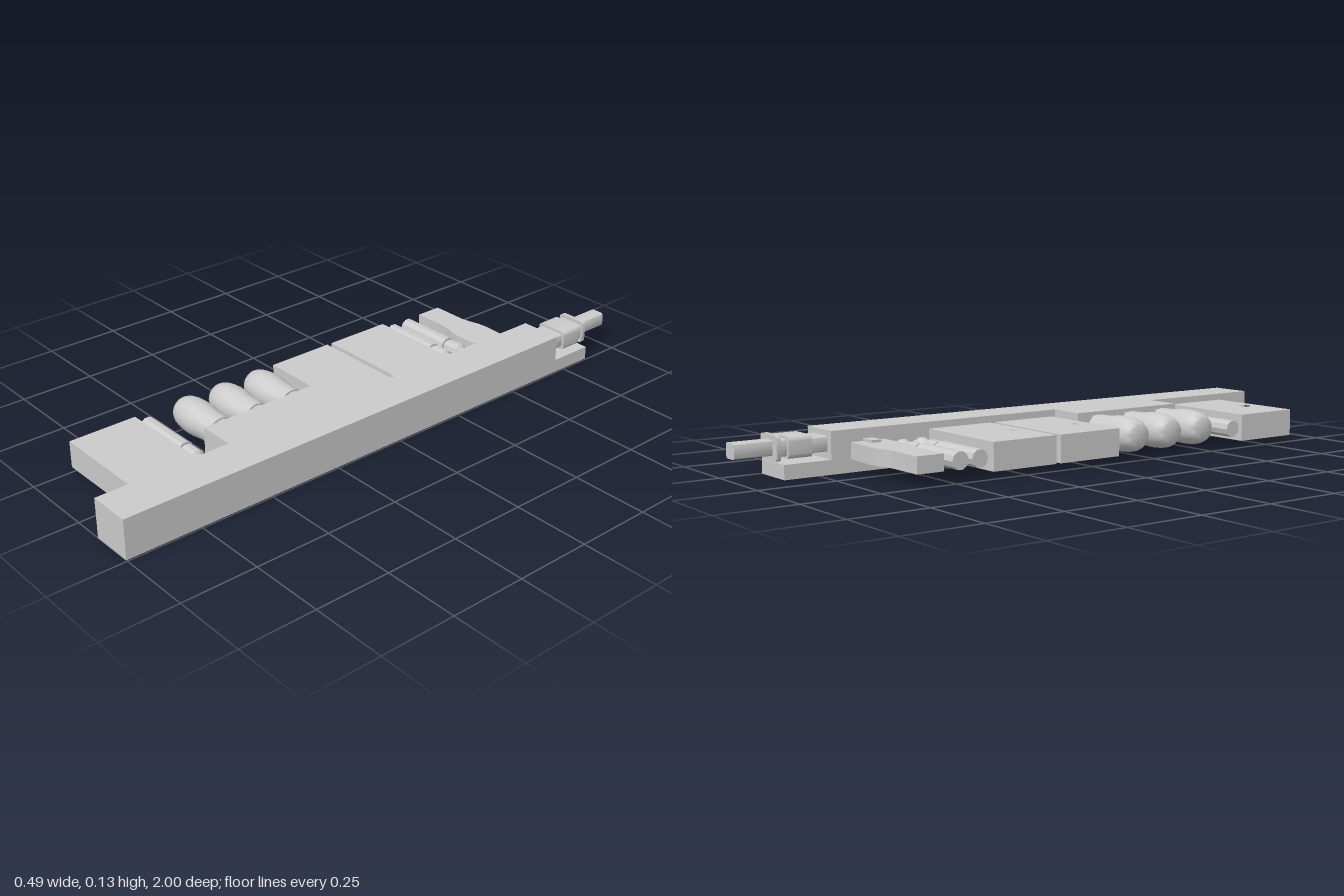
import * as THREE from 'three';
import { toCreasedNormals } from 'three/addons/utils/BufferGeometryUtils.js';

const mat = new THREE.MeshStandardMaterial({ color: 0xcccccc });
const flat = new THREE.MeshStandardMaterial({ color: 0xcccccc, flatShading: true });

export function createModel() {
  const root = new THREE.Group();

  const add = (name, geo, material = mat) => {
    const mesh = new THREE.Mesh(geo, material);
    mesh.name = name;
    root.add(mesh);
    return mesh;
  };
  // Box given by its extents on each axis
  const box = (name, [x0, x1], [y0, y1], [z0, z1]) =>
    add(name, new THREE.BoxGeometry(x1 - x0, y1 - y0, z1 - z0))
      .position.set((x0 + x1) / 2, (y0 + y1) / 2, (z0 + z1) / 2);

  // Turned part lying along x, profile points are [x, radius]
  const turned = (name, points, sides, y, z, material) => {
    let geo = new THREE.LatheGeometry(points.map(([x, r]) => new THREE.Vector2(r, x)), sides);
    geo.rotateZ(-Math.PI / 2);
    if (material !== flat) geo = toCreasedNormals(geo, 0.7);
    add(name, geo, material).position.set(0, y, z);
  };

  // Rounded bar along z, centred on (cx, cy)
  const sleeve = (name, cx, cy, w, h, r, z0, z1) => {
    const s = new THREE.Shape();
    const a = w / 2, b = h / 2;
    s.moveTo(-a + r, -b).lineTo(a - r, -b);
    s.quadraticCurveTo(a, -b, a, -b + r).lineTo(a, b - r);
    s.quadraticCurveTo(a, b, a - r, b).lineTo(-a + r, b);
    s.quadraticCurveTo(-a, b, -a, b - r).lineTo(-a, -b + r);
    s.quadraticCurveTo(-a, -b, -a + r, -b);
    const geo = new THREE.ExtrudeGeometry(s, { depth: z1 - z0, bevelEnabled: false, curveSegments: 4 });
    add(name, toCreasedNormals(geo, 0.6)).position.set(cx, cy, z0);
  };

  // Horizontal slab from an outline of [x, z] points, with optional holes
  const slab = (name, outline, holes, y0, y1) => {
    const toPath = pts => pts.map(([x, z]) => new THREE.Vector2(x, -z));
    const s = new THREE.Shape(toPath(outline));
    holes.forEach(h => s.holes.push(new THREE.Path(toPath(h))));
    const geo = new THREE.ExtrudeGeometry(s, { depth: y1 - y0, bevelEnabled: false });
    geo.rotateX(-Math.PI / 2);
    add(name, toCreasedNormals(geo, 0.5)).position.y = y0;
  };
  const rect = (x0, x1, z0, z1) => [[x0, z0], [x1, z0], [x1, z1], [x0, z1]];

  // Long body with rear ledge and side block
  box('mainBar', [0.102, 0.245], [0, 0.131], [-0.71, 1]);
  box('rearLedge', [0.102, 0.245], [0, 0.045], [-0.865, -0.71]);
  box('sideBlock', [-0.021, 0.102], [0, 0.131], [0.125, 0.545]);

  // Wide flat plugs with two square recesses in the top
  for (const z of [0.757, -0.005, -0.252]) {
    box('widePlug', [-0.245, 0.102], [0.021, 0.096], [z - 0.115, z + 0.115]);
    const holes = [-0.053, 0.053].map(d => rect(-0.1, -0.07, z + d - 0.023, z + d + 0.023));
    slab('widePlugTop', rect(-0.245, 0.102, z - 0.115, z + 0.115), holes, 0.096, 0.109);
  }

  // Slender round plugs with ringed, pointed ends
  for (const z of [0.6, -0.415, -0.483]) {
    turned('slimPlug', [
      [-0.245, 0], [-0.245, 0.028], [-0.042, 0.028], [-0.042, 0.02], [-0.032, 0.02],
      [-0.032, 0.026], [0.018, 0.026], [0.025, 0.017], [0.04, 0.017],
      [0.058, 0.026], [0.075, 0.026], [0.095, 0.014], [0.104, 0.014], [0.104, 0]
    ], 10, 0.065, z, flat);
  }

  // Bulbous handles on thin upright blades
  for (const z of [0.192, 0.33, 0.466]) {
    turned('bulbHandle', [
      [-0.245, 0], [-0.245, 0.036], [-0.241, 0.042], [-0.225, 0.05], [-0.2, 0.055],
      [-0.17, 0.057], [-0.14, 0.056], [-0.11, 0.051], [-0.045, 0.049], [-0.045, 0]
    ], 28, 0.076, z, mat);
    box('handleBlade', [-0.05, -0.02], [0.032, 0.119], [z - 0.012, z + 0.012]);
  }

  // Flared flat plug with a small latch
  const edge = [[-0.245, 0.045], [-0.12, 0.045], [-0.095, 0.049], [-0.06, 0.059],
    [-0.025, 0.063], [0.02, 0.061], [0.102, 0.058]];
  const mid = -0.585;
  slab('flaredPlug', [
    ...edge.map(([x, w]) => [x, mid - w]),
    ...edge.slice().reverse().map(([x, w]) => [x, mid + w])
  ], [], 0.04, 0.092);
  box('latch', [0.05, 0.102], [0.09, 0.1], [mid - 0.017, mid + 0.017]);

  // Rear connector: neck, grip, flange and tip
  const cx = 0.172, cy = 0.09;
  sleeve('connectorNeck', cx, cy, 0.095, 0.048, 0.01, -0.77, -0.705);
  sleeve('connectorGrip', cx, cy, 0.112, 0.066, 0.014, -0.842, -0.765);
  sleeve('connectorWaist', cx, cy, 0.09, 0.052, 0.012, -0.866, -0.84);
  sleeve('connectorFlange', cx, cy, 0.104, 0.078, 0.016, -0.878, -0.864);
  sleeve('connectorTip', cx, cy, 0.053, 0.048, 0.012, -1, -0.876);

  return root;
}
